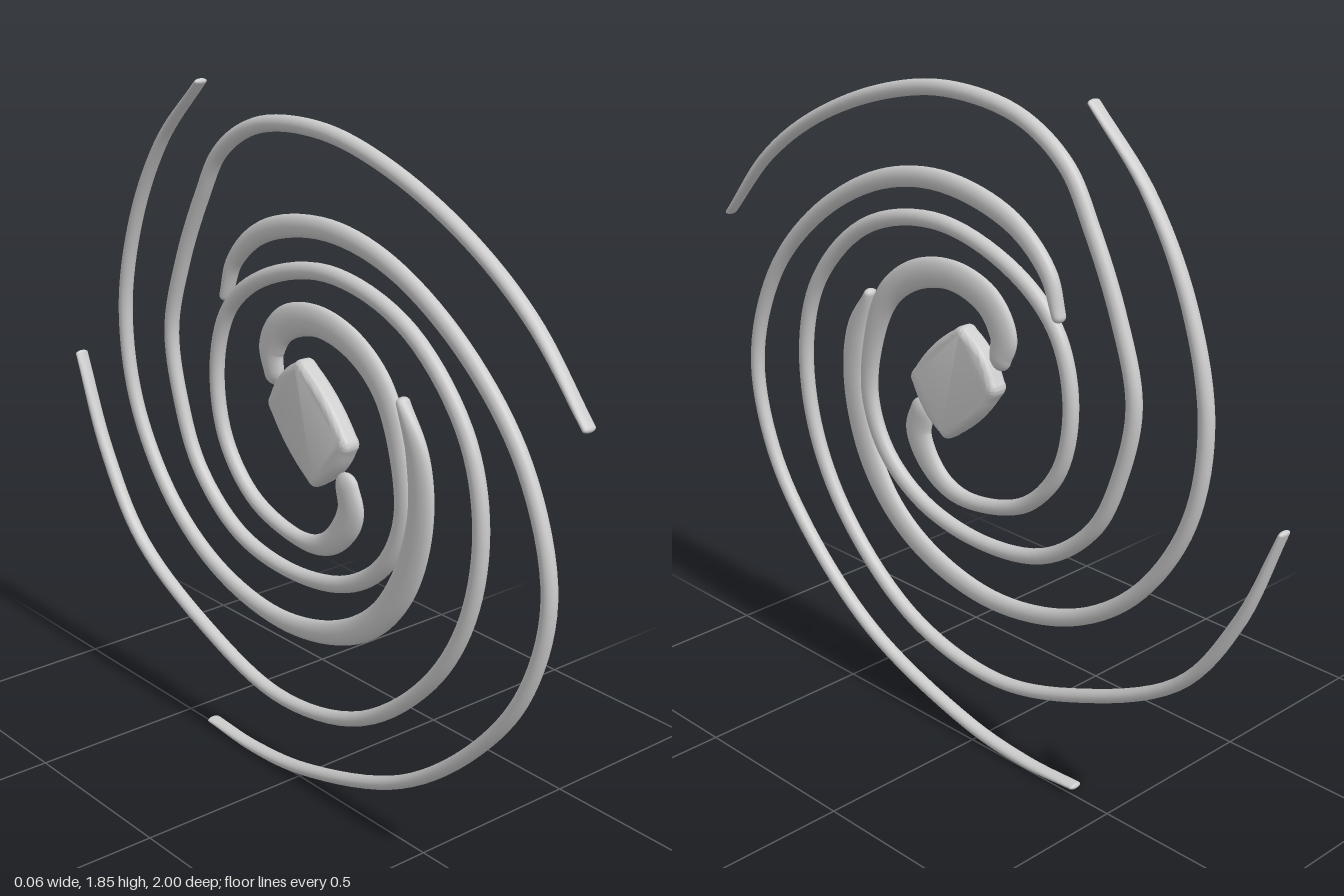
import * as THREE from 'three';
import { toCreasedNormals } from 'three/addons/utils/BufferGeometryUtils.js';

const material = new THREE.MeshStandardMaterial({ color: 0xcccccc });
const SIDES = 16, HALF_THICKNESS = 0.02, ARM_X = -0.01;

// Each arm: [z, y, half width] along its centre line, from the core outward
const ARMS = {
  innerArmUpper: [
    [-0.09, 1.15, 0.034], [-0.1, 1.21, 0.045], [-0.05, 1.285, 0.046], [0.075, 1.325, 0.042],
    [0.22, 1.295, 0.04], [0.33, 1.21, 0.038], [0.393, 1.06, 0.032], [0.407, 0.9, 0.027],
    [0.345, 0.76, 0.025], [0.204, 0.657, 0.023], [-0.02, 0.615, 0.021], [-0.25, 0.655, 0.021],
    [-0.42, 0.79, 0.021], [-0.5, 0.96, 0.021], [-0.536, 1.154, 0.021], [-0.477, 1.362, 0.021],
    [-0.386, 1.555, 0.021], [-0.306, 1.683, 0.021], [-0.155, 1.774, 0.021], [0.097, 1.8, 0.021],
    [0.354, 1.747, 0.02], [0.622, 1.63, 0.018], [0.82, 1.49, 0.016], [0.99, 1.3, 0.008]],
  innerArmLower: [
    [0.2, 0.92, 0.04], [0.215, 0.86, 0.045], [0.18, 0.79, 0.04], [0.11, 0.735, 0.03],
    [0.01, 0.72, 0.022], [-0.18, 0.775, 0.021], [-0.3, 0.91, 0.021], [-0.333, 1.1, 0.021],
    [-0.28, 1.27, 0.022], [-0.14, 1.385, 0.022], [0.13, 1.455, 0.022], [0.41, 1.385, 0.022],
    [0.61, 1.19, 0.022], [0.675, 0.98, 0.022], [0.645, 0.73, 0.022], [0.515, 0.5, 0.021],
    [0.25, 0.29, 0.02], [-0.075, 0.225, 0.018], [-0.4, 0.31, 0.018], [-0.715, 0.48, 0.017],
    [-0.88, 0.71, 0.016], [-0.99, 0.975, 0.008]],
  outerArmUpper: [
    [-0.288, 1.31, 0.016], [-0.25, 1.41, 0.024], [-0.13, 1.51, 0.029], [0.11, 1.563, 0.029],
    [0.355, 1.52, 0.026], [0.62, 1.365, 0.023], [0.81, 1.15, 0.021], [0.9, 0.87, 0.02],
    [0.84, 0.605, 0.02], [0.675, 0.38, 0.019], [0.41, 0.175, 0.018], [0.03, 0.045, 0.017],
    [-0.19, 0.02, 0.014], [-0.375, 0.028, 0.008]],
  outerArmLower: [
    [0.4, 1.2, 0.014], [0.455, 1.08, 0.037], [0.47, 0.925, 0.042], [0.42, 0.74, 0.044],
    [0.32, 0.6, 0.039], [0.165, 0.505, 0.034], [-0.075, 0.46, 0.027], [-0.345, 0.515, 0.023],
    [-0.56, 0.66, 0.021], [-0.715, 0.9, 0.02], [-0.755, 1.165, 0.02], [-0.69, 1.435, 0.018],
    [-0.56, 1.67, 0.014], [-0.385, 1.85, 0.008]],
};

// Sweeps an oval section of changing width along a path in the YZ plane
function armGeometry(rows) {
  // the curve's x carries the half width
  const curve = new THREE.CatmullRomCurve3(rows.map(([z, y, w]) => new THREE.Vector3(w, y, z)));
  const steps = rows.length * 7, rings = [];
  const addRing = (t, shift, scale) => {
    const p = curve.getPoint(t), d = curve.getTangent(t), len = Math.hypot(d.y, d.z);
    rings.push({ y: p.y + shift * p.x * d.y / len, z: p.z + shift * p.x * d.z / len,
      ny: d.z / len, nz: -d.y / len, w: p.x * scale, h: HALF_THICKNESS * scale });
  };
  const CAP = 5;
  for (let i = 0; i < CAP; i++) { // rounded start
    const a = (1 - i / CAP) * Math.PI / 2;
    addRing(0, -Math.sin(a), Math.cos(a));
  }
  for (let i = 0; i <= steps; i++) addRing(i / steps, 0, 1);
  for (let i = 1; i <= CAP; i++) { // rounded tip
    const a = i / CAP * Math.PI / 2;
    addRing(1, Math.sin(a), Math.cos(a));
  }
  const pos = [], index = [];
  rings.forEach((r, i) => {
    for (let j = 0; j < SIDES; j++) {
      const a = j / SIDES * Math.PI * 2, s = Math.sin(a) * r.w;
      pos.push(ARM_X + Math.cos(a) * r.h, r.y + r.ny * s, r.z + r.nz * s);
      if (i === rings.length - 1) continue;
      const k = (j + 1) % SIDES, m = i * SIDES, n = m + SIDES;
      index.push(m + j, m + k, n + j, m + k, n + k, n + j);
    }
  });
  const g = new THREE.BufferGeometry();
  g.setAttribute('position', new THREE.Float32BufferAttribute(pos, 3));
  g.setIndex(index);
  g.computeVertexNormals();
  return g;
}

// Pillow-like diamond plate with bowed sides, rounded corners and a soft rim
function coreGeometry() {
  const centre = new THREE.Vector2(-0.055, 1.045);
  const c = [[-0.022, 1.222], [-0.222, 1.03], [-0.08, 0.875], [0.113, 1.068]]
    .map(([x, y]) => new THREE.Vector2(x, y));
  const shape = new THREE.Shape();
  c.forEach((a, i) => {
    const b = c[(i + 1) % 4], next = c[(i + 2) % 4];
    const from = a.clone().lerp(b, 0.13), to = b.clone().lerp(a, 0.13), out = b.clone().lerp(next, 0.13);
    const bow = a.clone().lerp(b, 0.5).sub(centre).multiplyScalar(1.2).add(centre);
    if (i === 0) shape.moveTo(from.x, from.y);
    shape.quadraticCurveTo(bow.x, bow.y, to.x, to.y);
    shape.quadraticCurveTo(b.x, b.y, out.x, out.y);
  });
  const g = new THREE.ExtrudeGeometry(shape, { depth: 0.02, bevelThickness: 0.02, bevelSize: 0.02,
    bevelOffset: -0.02, bevelSegments: 5, curveSegments: 8 });
  g.translate(0, 0, -0.01);
  g.rotateY(Math.PI / 2);
  return toCreasedNormals(g, 0.6);
}

export function createModel() {
  const group = new THREE.Group();
  group.name = 'spiralGalaxy';
  const add = (name, geometry) => {
    const mesh = new THREE.Mesh(geometry, material);
    mesh.name = name;
    group.add(mesh);
  };
  add('core', coreGeometry());
  for (const [name, rows] of Object.entries(ARMS)) add(name, armGeometry(rows));
  return group;
}
